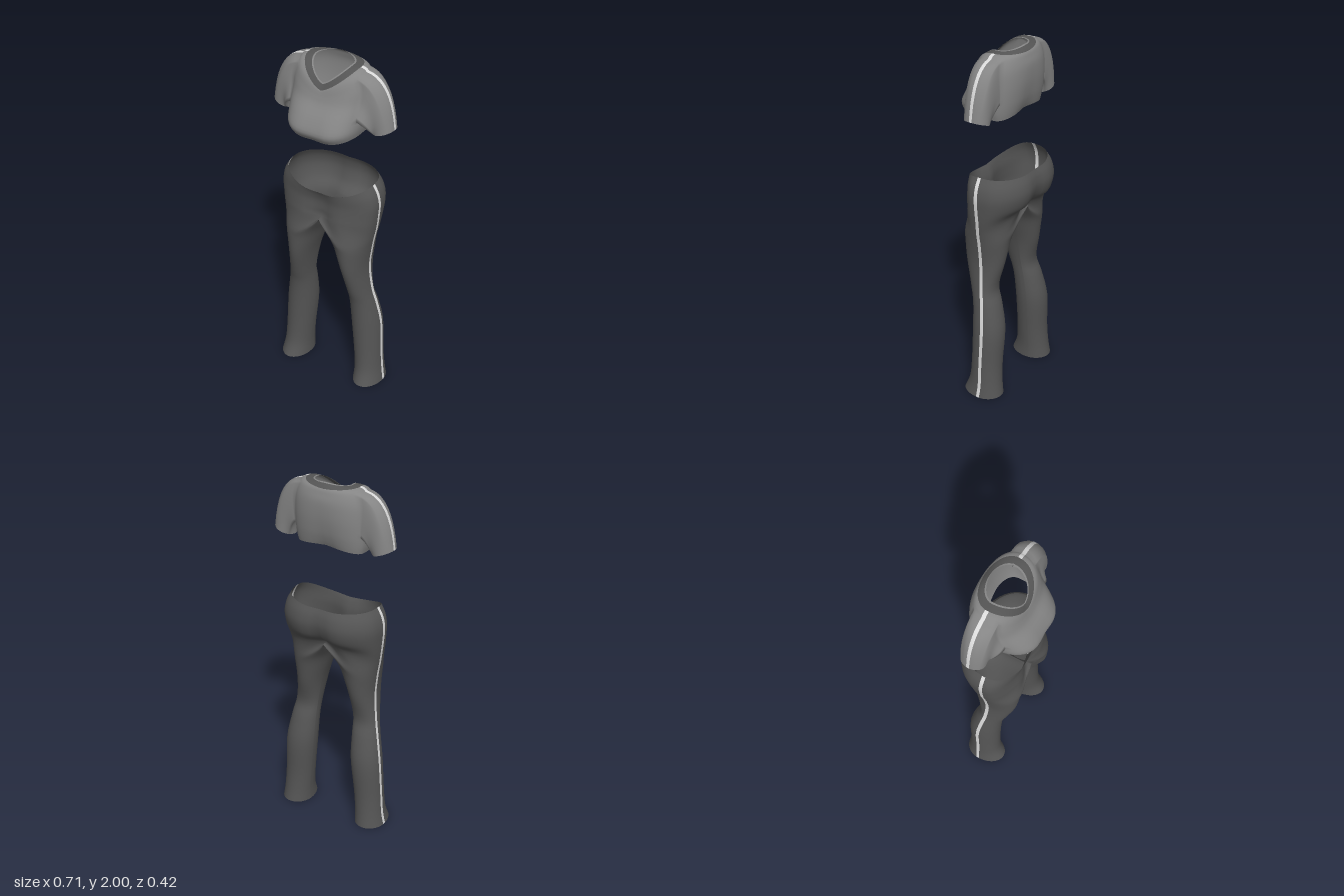
import * as THREE from 'three';
import { mergeVertices } from 'three/addons/utils/BufferGeometryUtils.js';

const N = 23;          // columns from centre front to centre back
const MID = 11;        // the narrow column that carries the side stripe
const STEPS = 4;       // rows between key sections
const STRIPE_HALF = 0.01;

// Smooth rows through key sections
function interpolate(keys) {
  const rows = [];
  const last = keys.length - 1;
  for (let k = 0; k < last; k++) {
    const a = keys[Math.max(k - 1, 0)], b = keys[k], c = keys[k + 1], d = keys[Math.min(k + 2, last)];
    for (let s = 0; s < STEPS; s++) {
      const t = s / STEPS;
      rows.push(b.map((p, n) => 0.5 * (2 * p + (c[n] - a[n]) * t
        + (2 * a[n] - 5 * p + 4 * c[n] - d[n]) * t * t
        + (3 * p - a[n] - 3 * c[n] + d[n]) * t * t * t)));
    }
  }
  rows.push(keys[last]);
  return rows;
}

// Point i of a section: 0..N runs front to back on the outside, N..2N returns on the inside.
// Section: side y, outer x, inner x, front z, side z, back z, front lift, back lift,
//          leg blend (0 body, 1 leg), centre groove, squareness
function point(row, i, liftPower) {
  const [y, xo, xi, zf, zs, zb, lf, lb, blend, groove, e] = row;
  const outer = i <= N;
  const m = outer ? i : 2 * N - i;
  const front = m <= MID;
  const span = Math.PI / 2 - 0.08;
  const angle = ((front ? m : N - m) / MID) * span;
  const sin = Math.sin(angle);
  const s = Math.pow(sin, e);
  const c = Math.pow(Math.cos(angle), e);
  const bodyX = outer ? xo * s : 0;
  const legX = (xo + xi) / 2 + (outer ? 1 : -1) * (xo - xi) / 2 * sin;
  const x = THREE.MathUtils.lerp(bodyX, legX, THREE.MathUtils.clamp(blend, 0, 1));
  let z = zs + ((front ? zf : zb) - zs) * c;
  if (m === MID) z = zs + STRIPE_HALF;
  if (m === MID + 1) z = zs - STRIPE_HALF;
  z -= (front ? 1 : -1) * groove * Math.exp(-Math.pow(xo * s / 0.06, 2));
  return [x, y + (front ? lf : lb) * (1 - Math.pow(sin, liftPower)), z];
}

// Collects mirrored quads per material and welds them into one smooth mesh
function clothBuilder(name, materials) {
  const buckets = materials.map(() => []);
  const flip = ([x, y, z]) => [-x, y, z];
  return {
    quad(a, b, c, d, mat) {
      const [fa, fb, fc, fd] = [a, b, c, d].map(flip);
      for (const p of [a, b, c, a, c, d, fa, fc, fb, fa, fd, fc]) buckets[mat].push(...p);
    },
    mesh() {
      let geo = new THREE.BufferGeometry();
      geo.setAttribute('position', new THREE.Float32BufferAttribute(buckets.flat(), 3));
      let start = 0;
      buckets.forEach((b, n) => {
        geo.addGroup(start, b.length / 3, n);
        start += b.length / 3;
      });
      geo = mergeVertices(geo, 1e-4);
      geo.computeVertexNormals();
      const mesh = new THREE.Mesh(geo, materials);
      mesh.name = name;
      return mesh;
    },
  };
}

function buildTrousers(charcoal, stripe) {
  // Legs, hem to crotch: y, outer x, inner x, front z, side z, back z
  const legs = [
    [0, 0.33, 0.155, 0.1, -0.03, -0.13],
    [0.08, 0.318, 0.155, 0.07, -0.035, -0.12],
    [0.2, 0.31, 0.145, 0.06, -0.035, -0.115],
    [0.4, 0.3, 0.125, 0.06, -0.04, -0.12],
    [0.55, 0.275, 0.12, 0.07, -0.025, -0.09],
    [0.65, 0.255, 0.115, 0.096, -0.01, -0.062],
    [0.8, 0.242, 0.09, 0.135, 0, -0.095],
    [0.93, 0.255, 0.048, 0.148, 0, -0.115],
    [1, 0.267, 0.025, 0.15, 0, -0.127],
  ].map((k, n) => [...k, 0, 0, n === 8 ? 0.75 : 1, 0, 1]);
  // Hips, crotch to waist: y, outer x, front z, back z, front lift, back lift
  const hips = [
    [1.07, 0.279, 0.143, -0.15, 0.03, 0.03],
    [1.15, 0.288, 0.135, -0.197, 0, 0],
    [1.22, 0.292, 0.13, -0.217, -0.02, 0],
    [1.28, 0.28, 0.134, -0.208, -0.04, 0],
    [1.33, 0.253, 0.14, -0.185, -0.063, -0.008],
  ].map(([y, x, zf, zb, lf, lb], n) => [y, x, 0, zf, -0.005, zb, lf, lb, 0, 0.04 - 0.0075 * n, 0.86]);

  const crotch = legs.length * STEPS;
  const rows = interpolate([...legs, ...hips]);
  const cloth = clothBuilder('trousers', [charcoal, stripe]);
  const at = (j, i) => point(rows[j], i, 2);
  for (let j = 0; j < rows.length - 1; j++) {
    const columns = j < crotch ? 2 * N : N;
    for (let i = 0; i < columns; i++) {
      cloth.quad(at(j, i), at(j, i + 1), at(j + 1, i + 1), at(j + 1, i), i === MID ? 1 : 0);
    }
  }
  return cloth.mesh();
}

function buildShirt(grey, charcoal, stripe) {
  // Lower edge to neckline: y, outer x, front z, back z, front lift, back lift
  const keys = [
    [1.64, 0.195, 0.19, -0.125, -0.028, 0.02],
    [1.68, 0.205, 0.215, -0.135, -0.02, 0.01],
    [1.74, 0.212, 0.185, -0.147, -0.01, 0],
    [1.82, 0.215, 0.138, -0.157, -0.025, 0],
    [1.9, 0.212, 0.12, -0.157, -0.07, 0],
    [1.965, 0.19, 0.113, -0.147, -0.115, -0.02],
    [1.983, 0.155, 0.107, -0.135, -0.118, -0.01],
    [1.985, 0.105, 0.085, -0.102, -0.085, 0.013],
  ].map(([y, x, zf, zb, lf, lb], n) =>
    [y, x, 0, zf, -0.03, zb, lf, lb, 0, Math.max(0, 0.015 - 0.004 * n), 0.65 + 0.05 * n]);
  const rows = interpolate(keys);
  const cloth = clothBuilder('shirt', [grey, charcoal, stripe]);
  const at = (j, i) => point(rows[j], i, 1.3);

  // Body and collar, leaving out the armholes
  const i0 = 8, i1 = 15, j0 = 2 * STEPS, j1 = 5 * STEPS, collar = 6 * STEPS;
  for (let j = 0; j < rows.length - 1; j++) {
    for (let i = 0; i < N; i++) {
      if (j >= j0 && j < j1 && i >= i0 && i < i1) continue;
      const isCollar = j >= collar && j < rows.length - 2;
      const mat = isCollar ? 1 : i === MID && j >= j1 && j < collar ? 2 : 0;
      cloth.quad(at(j, i), at(j, i + 1), at(j + 1, i + 1), at(j + 1, i), mat);
    }
  }

  // Sleeve: the armhole edge sweeps along curves to a tilted oval cuff
  const loop = [];
  for (let i = i0; i < i1; i++) loop.push([j0, i]);
  for (let j = j0; j < j1; j++) loop.push([j, i1]);
  for (let i = i1; i > i0; i--) loop.push([j1, i]);
  for (let j = j1; j > j0; j--) loop.push([j, i0]);
  const paths = loop.map(([j, i]) => {
    const edge = new THREE.Vector3(...at(j, i));
    const phi = Math.atan2((edge.z + 0.03) / 0.08, (edge.y - 1.85) / 0.11);
    const up = Math.cos(phi);
    const bend = edge.clone().add(new THREE.Vector3(0.08 + 0.06 * up, -0.015, 0));
    const cuff = new THREE.Vector3(0.298 + 0.058 * up, 1.663 + 0.021 * up, -0.027 + 0.067 * Math.sin(phi));
    return new THREE.QuadraticBezierCurve3(edge, bend, cuff).getPoints(10).map((p) => p.toArray());
  });
  paths.forEach((a, n) => {
    const b = paths[(n + 1) % paths.length];
    const mat = loop[n][0] === j1 && loop[n][1] === MID + 1 ? 2 : 0;
    for (let k = 0; k < 10; k++) cloth.quad(a[k], b[k], b[k + 1], a[k + 1], mat);
  });
  return cloth.mesh();
}

export function createModel() {
  const material = (name, color) => {
    const m = new THREE.MeshStandardMaterial({ color, side: THREE.DoubleSide });
    m.name = name;
    return m;
  };
  const charcoal = material('charcoal', 0x555555);
  const grey = material('grey', 0x858585);
  const stripe = material('light stripe', 0xdcdcdc);

  const group = new THREE.Group();
  group.name = 'sports outfit';
  group.add(buildTrousers(charcoal, stripe), buildShirt(grey, charcoal, stripe));
  return group;
}
